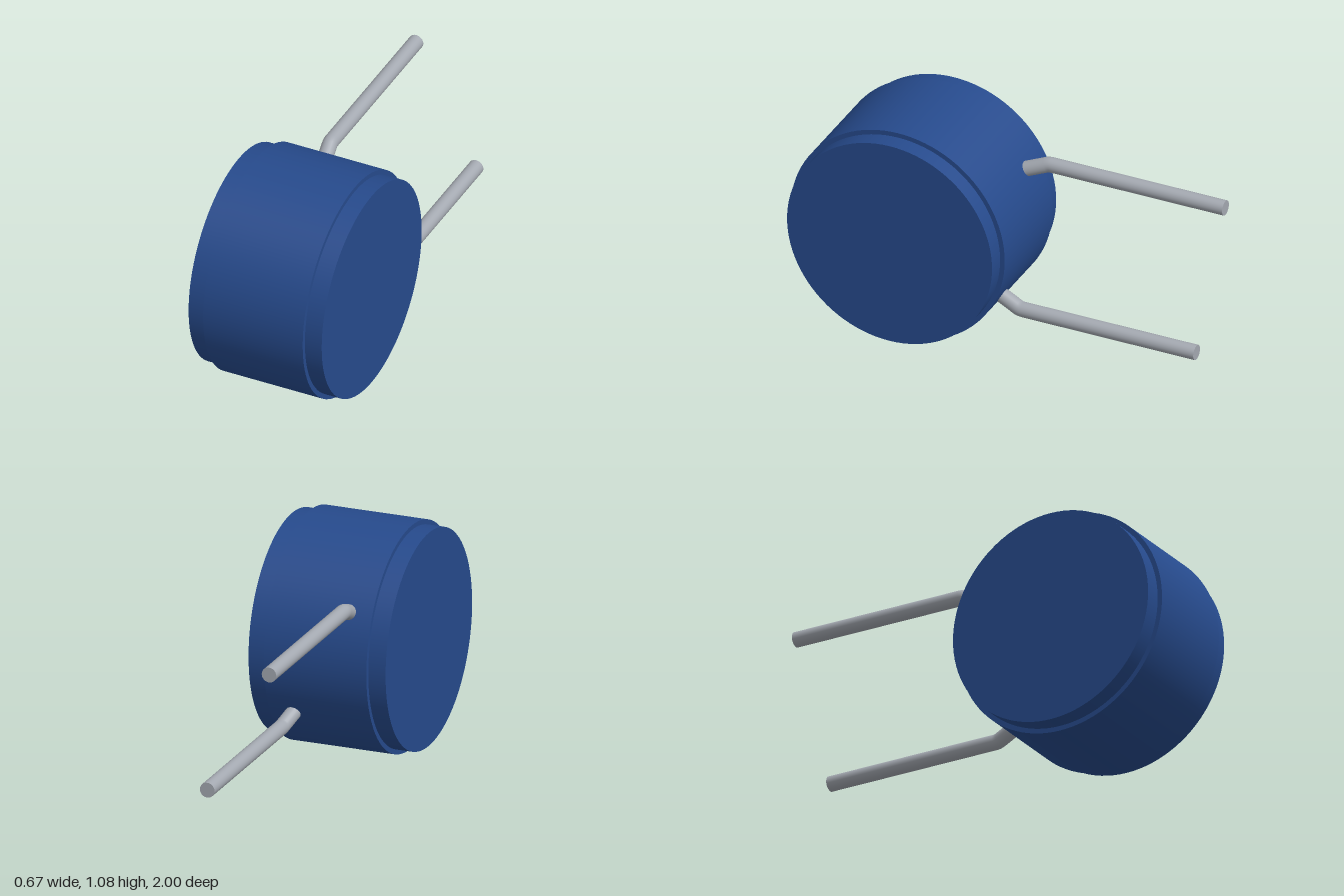
import * as THREE from 'three';

const CENTRE_Y = 0.54, CENTRE_Z = 0.46;

export function createModel() {
  const blue = new THREE.MeshStandardMaterial({ color: 0x264a8c });
  blue.name = 'blue coating';
  const metal = new THREE.MeshStandardMaterial({ color: 0xa4a9b1 });
  metal.name = 'tinned metal';

  const model = new THREE.Group();
  model.name = 'discComponent';

  const add = (parent, name, geometry, material) => {
    const mesh = new THREE.Mesh(geometry, material);
    mesh.name = name;
    parent.add(mesh);
    return mesh;
  };

  // Disc lying along x
  const disc = (name, radius, width, x) => {
    const geometry = new THREE.CylinderGeometry(radius, radius, width, 96);
    geometry.rotateZ(Math.PI / 2);
    add(model, name, geometry, blue).position.set(x, CENTRE_Y, CENTRE_Z);
  };

  // Body: wide central drum with a slightly smaller shoulder on each side
  disc('body', 0.54, 0.504, 0);
  for (const side of [-1, 1]) {
    disc(side > 0 ? 'leftShoulder' : 'rightShoulder', 0.517, 0.085, side * 0.2945);
  }

  // Wire leads: straight at the back, bent inwards where they enter the body
  const leadRadius = 0.036;
  const lead = (name, side) => {
    const at = (x, y, z) => new THREE.Vector3(side * x, CENTRE_Y + 0.003 - side * y, z);
    const bend = at(0.152, 0.301, -0.11);
    const path = new THREE.CurvePath();
    const bendStart = at(0.152, 0.301, -0.125);
    const bendEnd = at(0.1495, 0.2955, -0.096);
    path.add(new THREE.LineCurve3(at(0.152, 0.301, -1), bendStart));
    path.add(new THREE.QuadraticBezierCurve3(bendStart, bend, bendEnd));
    path.add(new THREE.LineCurve3(bendEnd, at(0.12, 0.228, 0.08)));

    const group = new THREE.Group();
    group.name = name;
    add(group, 'wire', new THREE.TubeGeometry(path, 120, leadRadius, 24), metal);
    const cap = add(group, 'wireEnd', new THREE.CircleGeometry(leadRadius, 24), metal);
    cap.position.copy(at(0.152, 0.301, -1));
    cap.rotation.y = Math.PI;
    model.add(group);
  };
  lead('upperLead', -1);
  lead('lowerLead', 1);

  return model;
}
